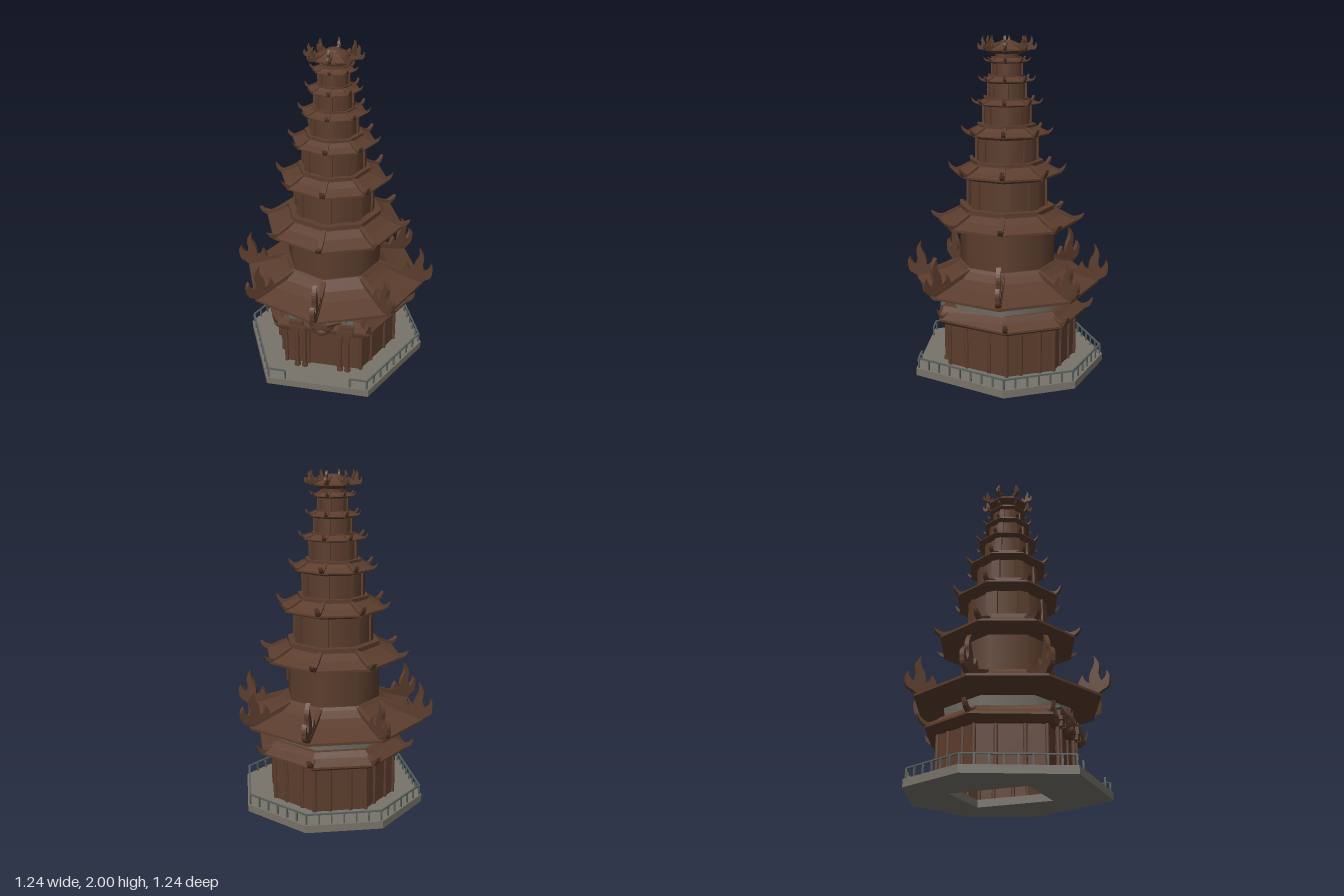
import * as THREE from 'three';

const mat = (name, color, side = THREE.FrontSide) => {
  const m = new THREE.MeshStandardMaterial({ color, side });
  m.name = name;
  return m;
};

export function createModel() {
  const brown = mat('timber brown', 0x5b3d2d, THREE.DoubleSide);
  const stone = mat('stone grey', 0x78736a);
  const railing = mat('railing slate', 0x56605c);
  const root = new THREE.Group();
  root.name = 'pagoda';

  const add = (name, geo, material, x = 0, y = 0, z = 0) => {
    const m = new THREE.Mesh(geo, material);
    m.name = name;
    m.position.set(x, y, z);
    root.add(m);
    return m;
  };

  // Plans are corner lists [x, z], running from the front towards +x
  const octagon = (r) => Array.from({ length: 8 }, (_, i) =>
    [r * Math.sin(i * Math.PI / 4), r * Math.cos(i * Math.PI / 4)]);
  const plan = (s, back, front, frontX) => [
    [frontX, front], [s, -0.03], [s * 0.72, back * 0.72], [0, back],
    [-s * 0.72, back * 0.72], [-s, -0.03], [-frontX, front]];

  // Faceted skin through plans stacked as [plan, y]
  const loft = (rings) => {
    const p = [];
    for (let j = 0; j < rings.length - 1; j++) {
      const [a, ya] = rings[j], [b, yb] = rings[j + 1], n = a.length;
      for (let i = 0; i < n; i++) {
        const k = (i + 1) % n;
        const A = [a[i][0], ya, a[i][1]], B = [a[k][0], ya, a[k][1]];
        const C = [b[k][0], yb, b[k][1]], D = [b[i][0], yb, b[i][1]];
        p.push(...A, ...B, ...C, ...A, ...C, ...D);
      }
    }
    const g = new THREE.BufferGeometry();
    g.setAttribute('position', new THREE.Float32BufferAttribute(p, 3));
    g.computeVertexNormals();
    return g;
  };
  const octLoft = (profile) => loft(profile.map(([r, y]) => [octagon(r), y]));

  // Upright plate drawn in (radius, height) and centred on its thickness
  const plate = (shape, w) => new THREE.ExtrudeGeometry(shape,
    { depth: w, bevelEnabled: false, curveSegments: 5 }).translate(0, 0, -w / 2);
  const aroundCorners = (name, geo) => {
    for (let i = 0; i < 8; i++) add(name, geo, brown).rotation.y = i * Math.PI / 4;
  };

  // Roof ridge with a slender upswept horn at its end
  const horn = (r0, y0, r1, y1, tipR, tipY, h) => {
    const s = new THREE.Shape();
    s.moveTo(r0, y0 - h);
    s.lineTo(r1 - h, y1 - h * 0.6);
    s.quadraticCurveTo(tipR - h * 0.5, y1, tipR, tipY);
    s.quadraticCurveTo(r1 + h * 0.2, y1 + h * 0.7, r1 - h * 1.2, y1 + h * 0.9);
    s.lineTo(r0, y0 + h * 0.4);
    return s;
  };

  // Three flame tongues, about one unit wide and high, outermost at x = 1
  const flame = (x, y, sx, sy) => {
    const s = new THREE.Shape();
    const q = (a, b, c, d) => s.quadraticCurveTo(x + a * sx, y + b * sy, x + c * sx, y + d * sy);
    s.moveTo(x, y);
    s.lineTo(x + 0.7 * sx, y);
    q(1.0, 0.0, 1.0, 0.25);
    q(1.05, 0.4, 0.92, 0.53);
    q(0.92, 0.34, 0.75, 0.26);
    q(0.62, 0.42, 0.7, 0.62);
    q(0.73, 0.8, 0.52, 1.0);
    q(0.6, 0.78, 0.44, 0.6);
    q(0.32, 0.42, 0.36, 0.24);
    q(0.2, 0.26, 0.14, 0.48);
    q(-0.1, 0.22, 0, 0);
    return s;
  };

  // Terrace with an opening in its floor
  const basePlan = plan(0.573, -0.6, 0.52, 0.315);
  const slab = new THREE.Shape(basePlan.map(([x, z]) => new THREE.Vector2(x, -z)));
  slab.holes.push(new THREE.Path([[-0.19, -0.2], [-0.19, 0.27], [0.19, 0.27], [0.19, -0.2]]
    .map(([x, y]) => new THREE.Vector2(x, y))));
  add('terrace', new THREE.ExtrudeGeometry(slab, { depth: 0.045, bevelEnabled: false })
    .rotateX(-Math.PI / 2), stone);

  // Railing runs, leaving the front entrance open
  const railPlan = plan(0.557, -0.583, 0.507, 0.305);
  const railRun = ([x0, z0], [x1, z1]) => {
    const len = Math.hypot(x1 - x0, z1 - z0), n = Math.max(1, Math.round(len / 0.075));
    const turn = Math.atan2(x1 - x0, z1 - z0);
    const mid = [(x0 + x1) / 2, (z0 + z1) / 2];
    add('topRail', new THREE.BoxGeometry(0.01, 0.008, len), railing, mid[0], 0.105, mid[1]).rotation.y = turn;
    for (let i = 0; i <= n; i++) {
      add('railPost', new THREE.BoxGeometry(0.009, 0.06, 0.009), railing,
        x0 + (x1 - x0) * i / n, 0.072, z0 + (z1 - z0) * i / n).rotation.y = turn;
    }
  };
  for (let i = 0; i < 6; i++) railRun(railPlan[i], railPlan[i + 1]);
  for (const s of [-1, 1]) railRun([s * 0.305, 0.507], [s * 0.2, 0.507]);

  // Ground storey: seven walls with round posts
  const wallPlan = plan(0.39, -0.42, 0.325, 0.235);
  add('groundWall', loft([[wallPlan, 0.04], [wallPlan, 0.33]]), brown);
  const post = new THREE.CylinderGeometry(0.012, 0.012, 0.28, 10);
  wallPlan.forEach(([x, z], i) => {
    const [x1, z1] = wallPlan[(i + 1) % 7];
    for (const t of [0, 0.3, 0.7]) {
      add('wallPost', post, brown, x + (x1 - x) * t, 0.185, z + (z1 - z) * t);
    }
  });

  // Ground roof, cut flat at the front
  const none = plan(0, 0, 0, 0);
  const eave = plan(0.475, -0.49, 0.38, 0.29);
  add('groundRoof', loft([
    [none, 0.31], [plan(0.415, -0.435, 0.37, 0.25), 0.31], [eave, 0.34], [eave, 0.352],
    [plan(0.42, -0.44, 0.37, 0.25), 0.385], [plan(0.38, -0.41, 0.36, 0.23), 0.415], [none, 0.42]]), brown);
  eave.forEach(([x, z]) => {
    const r = Math.hypot(x, z), front = z > 0.3;
    const tip = front ? r + 0.01 : r + 0.045;
    add('groundRoofHorn', plate(horn(r - 0.1, 0.4, r, 0.355, tip, 0.415, 0.018), 0.026), brown)
      .rotation.y = Math.atan2(-z, x);
  });
  add('stoneBand', new THREE.CylinderGeometry(0.388, 0.38, 0.06, 8), stone, 0, 0.438, 0);

  // Entrance: paired columns, brackets and a carved centrepiece
  for (const s of [-1, 1]) {
    for (const x of [0.112, 0.158]) {
      add('entranceColumn', new THREE.CylinderGeometry(0.013, 0.013, 0.29, 10), brown, s * x, 0.19, 0.357);
      add('columnFoot', new THREE.CylinderGeometry(0.018, 0.02, 0.02, 10), brown, s * x, 0.055, 0.357);
      add('columnCapital', new THREE.BoxGeometry(0.036, 0.03, 0.035), brown, s * x, 0.325, 0.375);
    }
    add('bracket', new THREE.BoxGeometry(0.1, 0.022, 0.04), brown, s * 0.145, 0.352, 0.378);
    add('upperBracket', new THREE.BoxGeometry(0.085, 0.03, 0.03), brown, s * 0.155, 0.378, 0.375);
    add('bracketTrim', new THREE.BoxGeometry(0.075, 0.009, 0.03), railing, s * 0.16, 0.413, 0.372);
    add('carvedWing', new THREE.ConeGeometry(0.03, 0.13, 8), brown, s * 0.1, 0.41, 0.372).rotation.z = -s * 1.35;
    add('carvedHorn', new THREE.ConeGeometry(0.015, 0.06, 8), brown, s * 0.04, 0.44, 0.378).rotation.z = -s * 0.4;
  }
  add('carvedHead', new THREE.SphereGeometry(1, 16, 10).scale(0.085, 0.072, 0.04), brown, 0, 0.38, 0.36);
  add('carvedSnout', new THREE.SphereGeometry(1, 12, 8).scale(0.04, 0.028, 0.025), brown, 0, 0.335, 0.378);
  add('lintel', new THREE.BoxGeometry(0.38, 0.02, 0.03), brown, 0, 0.328, 0.36);

  // Great roof with flaming ridge ends
  add('greatRoof', octLoft([[0, 0.465], [0.4, 0.465], [0.42, 0.475], [0.565, 0.512], [0.565, 0.527],
    [0.43, 0.568], [0.36, 0.598], [0.315, 0.632], [0.3, 0.65], [0, 0.65]]), brown);
  aroundCorners('greatRidge', plate(horn(0.29, 0.64, 0.57, 0.54, 0.6, 0.575, 0.02), 0.03));
  aroundCorners('greatFlame', plate(flame(0.44, 0.545, 0.18, 0.215), 0.026));

  // Upper storeys: wall r, base y, eave y, eave r, collar r, top y, horn tip r and y
  const tiers = [
    [0.29, 0.64, 0.865, 0.425, 0.29, 1.0, 0.468, 0.95],
    [0.245, 1.0, 1.168, 0.325, 0.22, 1.275, 0.356, 1.255],
    [0.19, 1.275, 1.41, 0.25, 0.175, 1.49, 0.276, 1.475],
    [0.145, 1.49, 1.597, 0.192, 0.132, 1.643, 0.213, 1.645],
    [0.115, 1.64, 1.728, 0.152, 0.102, 1.777, 0.17, 1.775],
    [0.09, 1.775, 1.842, 0.122, 0.084, 1.882, 0.14, 1.88],
  ];
  tiers.forEach(([r, y0, y1, er, cr, top, tr, ty], i) => {
    const h = top - y1, w = Math.max(0.014, 0.028 - i * 0.003);
    add('storeyWall', new THREE.CylinderGeometry(r, r, y1 - y0 + 0.01, 8, 1, true), brown, 0, (y0 + y1) / 2, 0);
    if (i > 0) {
      aroundCorners('cornerPanel', new THREE.BoxGeometry(0.012, y1 - y0, r * 0.29)
        .translate(r * 0.97, (y0 + y1) / 2, 0));
    }
    add('storeyRoof', octLoft([[0, y1], [r * 1.02, y1], [er, y1 + h * 0.22], [er, y1 + h * 0.32],
      [cr + (er - cr) * 0.4, y1 + h * 0.56], [cr, y1 + h * 0.8], [cr, top], [0, top]]), brown);
    aroundCorners('storeyRidge', plate(
      horn(cr, y1 + h * 0.82, er, y1 + h * 0.34, tr, ty, h * 0.15), w));
  });

  // Flaming crown
  add('crownWall', new THREE.CylinderGeometry(0.07, 0.07, 0.05, 8), brown, 0, 1.897, 0);
  add('crownRoof', octLoft([[0, 1.895], [0.075, 1.895], [0.125, 1.913], [0.125, 1.922],
    [0.085, 1.942], [0.055, 1.962], [0, 1.965]]), brown);
  aroundCorners('crownRidge', plate(horn(0.045, 1.964, 0.135, 1.922, 0.158, 1.935, 0.01), 0.015));
  aroundCorners('crownFlame', plate(flame(0.1, 1.92, 0.073, 0.08), 0.013));
  add('finial', new THREE.SphereGeometry(0.047, 16, 10).scale(1, 0.4, 1), brown, 0, 1.96, 0);

  return root;
}
